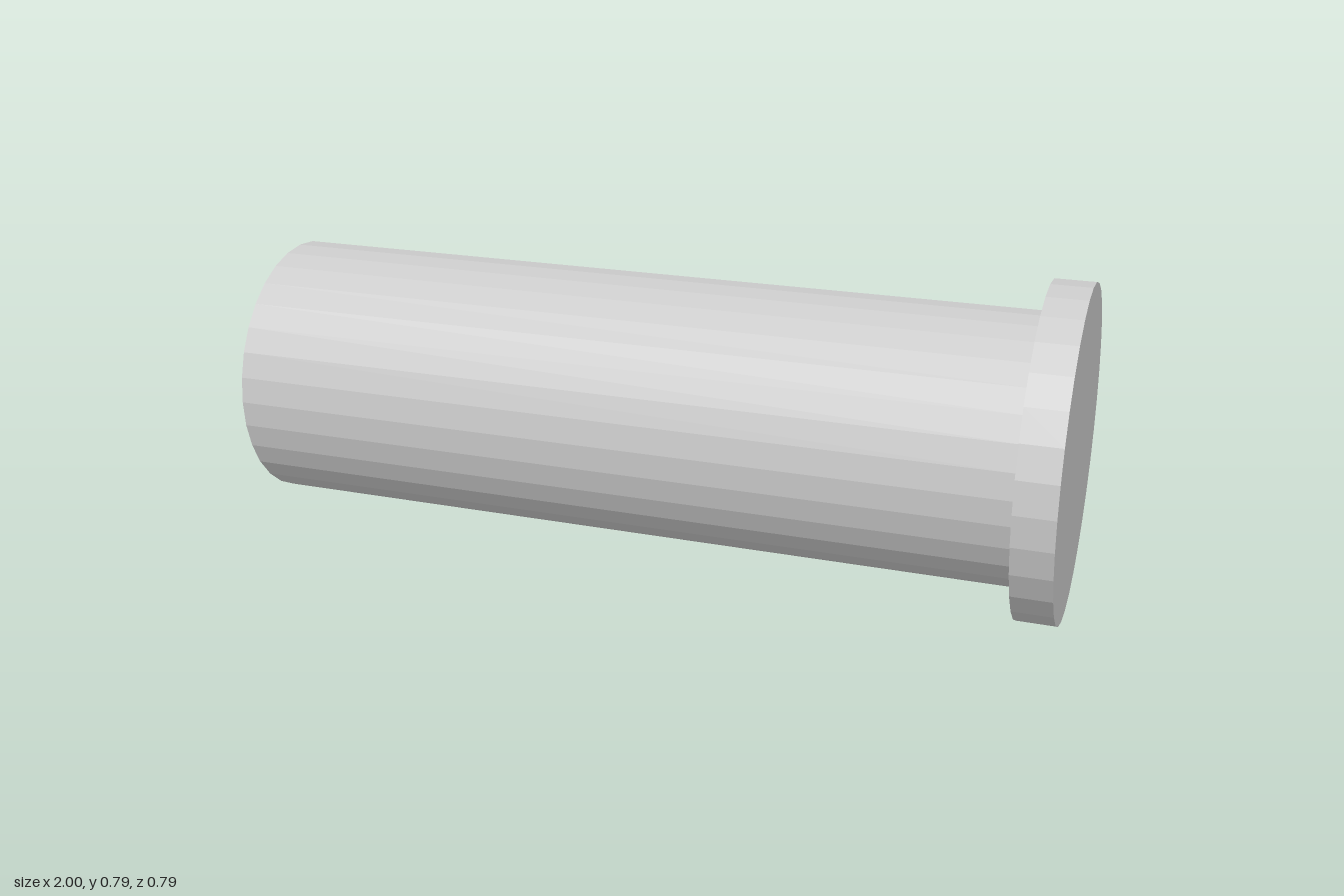
import * as THREE from 'three';

const SIDES = 32;
const HEAD_RADIUS = 0.397;
const SHAFT_RADIUS = 0.322;
const HEAD_START = 0.905;

// Solid faceted cylinder lying along x, from x0 to x1
function rod(name, radius, x0, x1, material) {
  const geometry = new THREE.CylinderGeometry(radius, radius, x1 - x0, SIDES);
  geometry.rotateZ(-Math.PI / 2);
  const mesh = new THREE.Mesh(geometry, material);
  mesh.name = name;
  mesh.position.set((x0 + x1) / 2, HEAD_RADIUS, 0);
  return mesh;
}

export function createModel() {
  const group = new THREE.Group();
  group.name = 'headedPin';
  const material = new THREE.MeshStandardMaterial({ color: 0xcccccc, flatShading: true });

  // Long shaft with a wider disc head at its +x end
  group.add(rod('shaft', SHAFT_RADIUS, -1, HEAD_START, material));
  group.add(rod('head', HEAD_RADIUS, HEAD_START, 1, material));
  return group;
}
